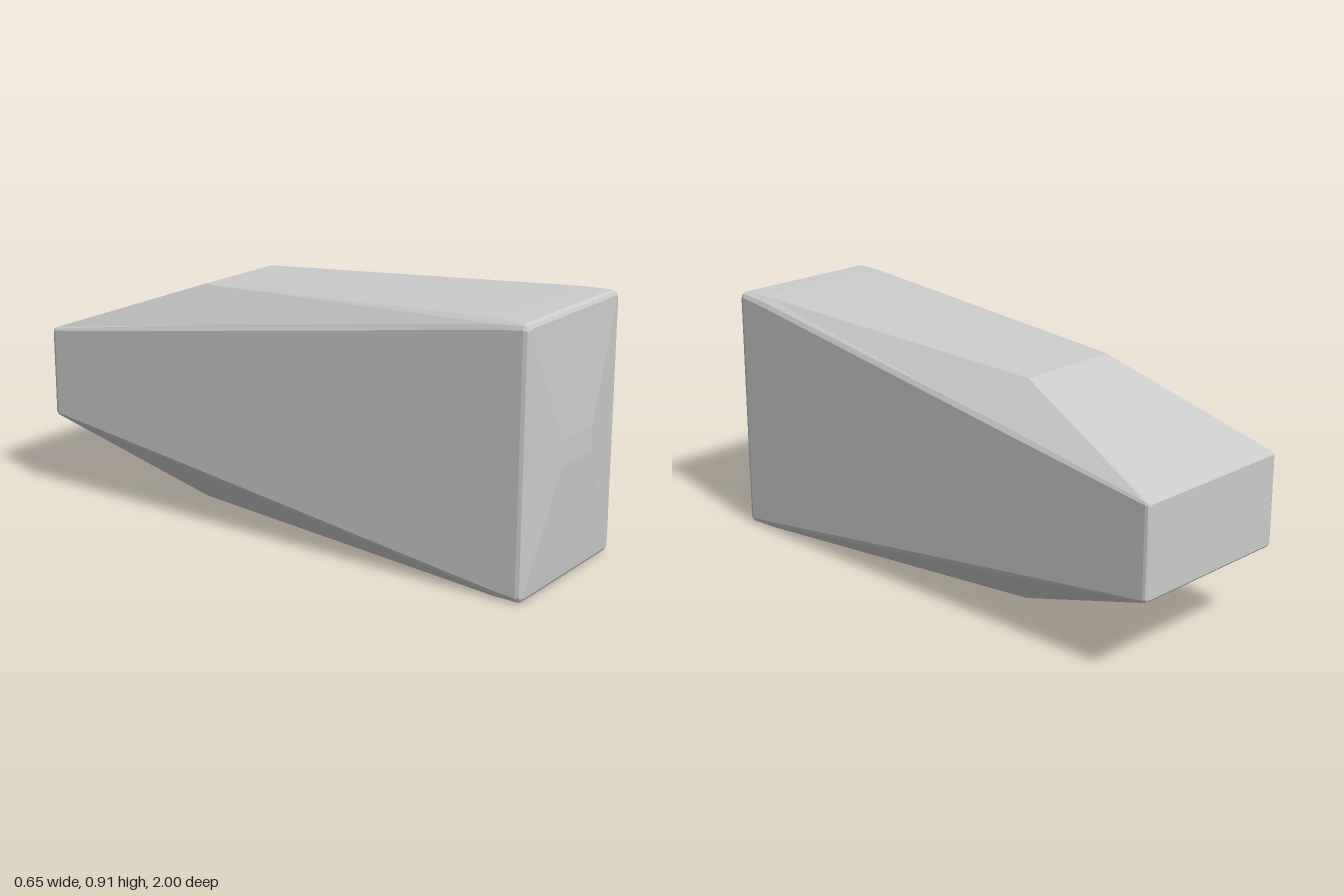
import * as THREE from 'three';

const MID = 0.457; // height of the horizontal symmetry plane

// Cross-sections front to back: z, ridge centre x, then one quadrant of the
// outline as half-extents: ridge (x, y), bevel (x, y), side (x, y)
const SECTIONS = [
  [1.0, 0, 0.097, 0.045, 0.099, 0.044, 0.1, 0.042],
  [0.977, 0, 0.282, 0.44, 0.288, 0.437, 0.291, 0.431],
  [0.971, 0, 0.282, 0.451, 0.294, 0.445, 0.3, 0.433],
  [0.958, 0, 0.281, 0.457, 0.297, 0.45, 0.304, 0.436],
  [0.86, 0, 0.279, 0.456, 0.297, 0.442, 0.305, 0.425],
  [-0.37, -0.012, 0.195, 0.391, 0.309, 0.263, 0.319, 0.245],
  [-0.985, 0, 0.312, 0.169, 0.321, 0.165, 0.325, 0.157],
  [-0.995, 0, 0.31, 0.165, 0.318, 0.161, 0.322, 0.154],
  [-1.0, 0, 0.306, 0.158, 0.311, 0.156, 0.314, 0.15],
];

// Mirror a quadrant into a closed outline, counter-clockwise from the front
function outline([z, cx, ax, ay, bx, by, sx, sy]) {
  const q = [[sx, sy, 0], [bx, by, 0], [ax, ay, cx]];
  const put = (mx, my) => ([x, y, c]) => [c + mx * x, MID + my * y, z];
  const r = [...q].reverse();
  return [...q.map(put(1, 1)), ...r.map(put(-1, 1)), ...q.map(put(-1, -1)), ...r.map(put(1, -1))];
}

function loft(rings) {
  const n = rings[0].length;
  const positions = rings.flat(2);
  const index = [];
  for (let k = 0; k < rings.length - 1; k++) {
    for (let i = 0; i < n; i++) {
      const j = (i + 1) % n;
      const f = k * n, b = f + n;
      index.push(f + i, b + i, f + j, f + j, b + i, b + j);
    }
  }
  // Flat end caps
  const last = (rings.length - 1) * n;
  for (let i = 1; i < n - 1; i++) {
    index.push(0, i, i + 1, last, last + i + 1, last + i);
  }
  const geometry = new THREE.BufferGeometry();
  geometry.setAttribute('position', new THREE.Float32BufferAttribute(positions, 3));
  geometry.setIndex(index);
  geometry.computeVertexNormals();
  return geometry;
}

export function createModel() {
  const group = new THREE.Group();
  group.name = 'taperedBlock';
  const material = new THREE.MeshStandardMaterial({ color: 0xcccccc, flatShading: true });

  // Faceted wedge body with bevelled edges
  const body = new THREE.Mesh(loft(SECTIONS.map(outline)), material);
  body.name = 'body';
  group.add(body);
  return group;
}
